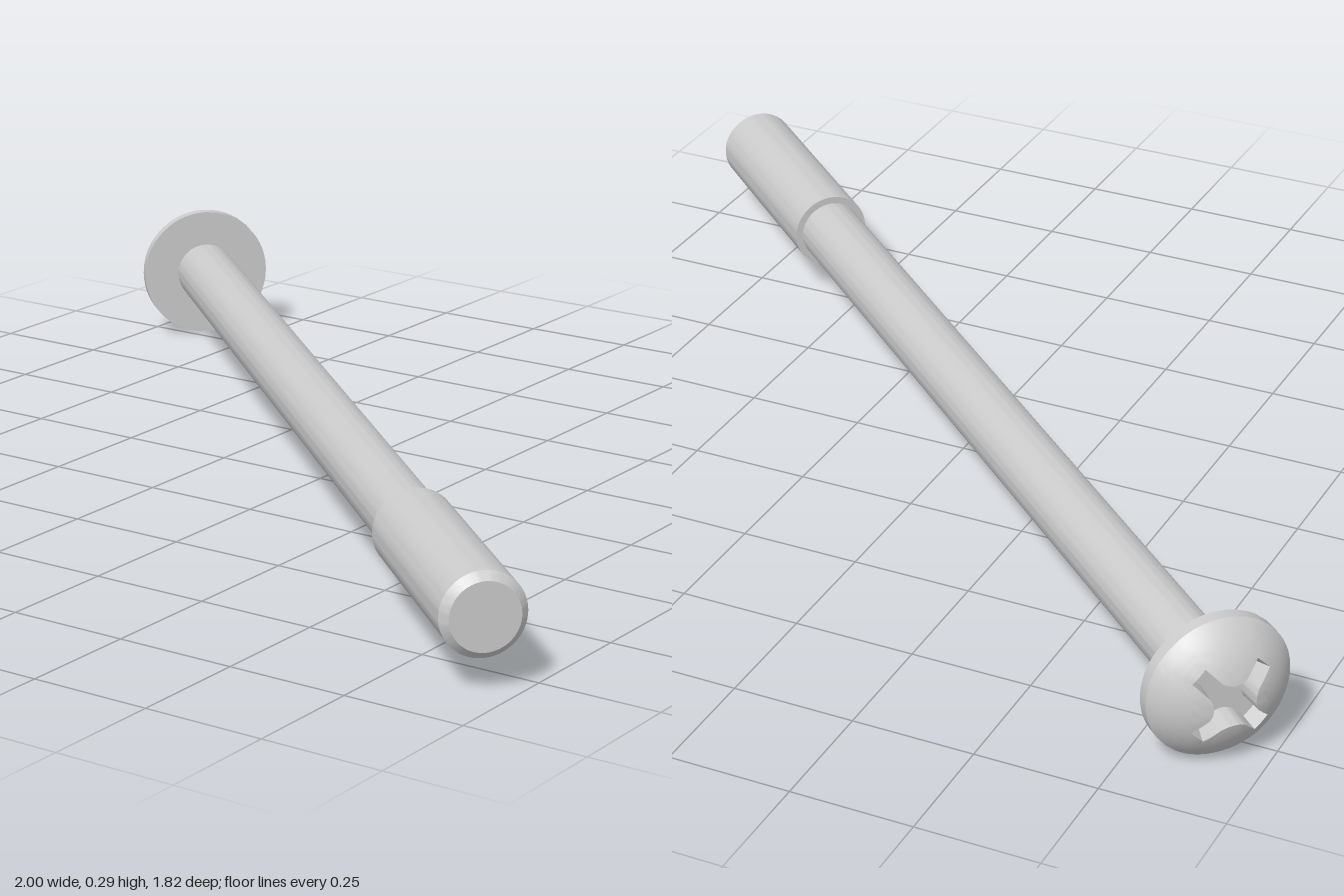
import * as THREE from 'three';
import { toCreasedNormals } from 'three/addons/utils/BufferGeometryUtils.js';

const HEAD_R = 0.146, RIM = 0.025, DOME_TOP = 0.1;      // head sizes
const LENGTH = 2.459, SHANK_R = 0.067, THREAD_R = 0.0825; // shaft sizes

// Outline of the cross recess, counter-clockwise, as [radius, angle]
function crossOutline() {
  const w = 0.018, reach = 0.092, c = 0.052;
  const fillet = new THREE.QuadraticBezierCurve(
    new THREE.Vector2(c, w), new THREE.Vector2(w * 1.4, w * 1.4), new THREE.Vector2(w, c));
  const arm = [
    new THREE.Vector2(reach, 0), new THREE.Vector2(reach, w),
    new THREE.Vector2((reach + c) / 2, w), ...fillet.getPoints(8),
    new THREE.Vector2(w, (reach + c) / 2), new THREE.Vector2(w, reach),
  ];
  const out = [];
  for (let k = 0; k < 4; k++) {
    for (const p of arm) out.push([p.length(), p.angle() + (k * Math.PI) / 2 + Math.PI / 4]);
  }
  return out;
}

// Domed head lofted from rings: underside, rim, dome, recess wall, recess floor
function headGeometry() {
  const outline = crossOutline(), n = outline.length;
  const cap = DOME_TOP - RIM;
  const sphereR = (HEAD_R ** 2 + cap ** 2) / (2 * cap);
  const domeY = (r) => DOME_TOP - sphereR + Math.sqrt(sphereR ** 2 - r ** 2);
  const floorY = 0.04, domeSteps = 10;

  // each ring maps the recess radius at an angle to [radius, height]
  const rings = [() => [0.05, 0], () => [HEAD_R, 0]];
  for (let i = 0; i <= domeSteps; i++) {
    rings.push((rc) => {
      const r = THREE.MathUtils.lerp(HEAD_R, rc, i / domeSteps);
      return [r, domeY(r)];
    });
  }
  rings.push((rc) => [rc * 0.88, floorY], () => [0, floorY]);

  const pos = [], index = [];
  rings.forEach((ring, i) => {
    outline.forEach(([rc, a], j) => {
      const [r, y] = ring(rc);
      pos.push(r * Math.cos(a), y, -r * Math.sin(a));
      if (i === rings.length - 1) return;
      const k = (j + 1) % n, p = i * n, q = p + n;
      index.push(p + j, p + k, q + k);
      if (i < rings.length - 2) index.push(p + j, q + k, q + j);
    });
  });
  const g = new THREE.BufferGeometry();
  g.setAttribute('position', new THREE.Float32BufferAttribute(pos, 3));
  g.setIndex(index);
  return toCreasedNormals(g, 0.5);
}

// Turned part from [radius, height] pairs, listed bottom to top
function turned(profile) {
  const pts = profile.map(([r, y]) => new THREE.Vector2(r, y));
  return toCreasedNormals(new THREE.LatheGeometry(pts, 64), 0.5);
}

export function createModel() {
  const model = new THREE.Group();
  model.name = 'screw';
  const material = new THREE.MeshStandardMaterial({ color: 0xcccccc });
  const add = (name, geometry) => {
    const mesh = new THREE.Mesh(geometry, material);
    mesh.name = name;
    screw.add(mesh);
  };

  // built upright with the underside of the head at y = 0, then laid down
  const screw = new THREE.Group();
  screw.name = 'screwBody';
  const threadTop = -LENGTH + 0.495;
  add('head', headGeometry());
  add('shank', turned([[SHANK_R, threadTop - 0.01], [SHANK_R, 0.005]]));
  add('threadedEnd', turned([
    [0, -LENGTH], [SHANK_R, -LENGTH], [THREAD_R, -LENGTH + 0.016],
    [THREAD_R, threadTop], [0, threadTop],
  ]));

  // lay the axis diagonally on the ground plane, head to the back right
  const up = new THREE.Vector3(0, 1, 0);
  const axis = new THREE.Vector3(-1.832, 0, -1.64).normalize();
  const side = new THREE.Vector3().crossVectors(up, axis);
  screw.quaternion.setFromRotationMatrix(new THREE.Matrix4().makeBasis(up, axis, side));
  screw.position.set(-0.88, HEAD_R, -0.785);
  model.add(screw);
  return model;
}
